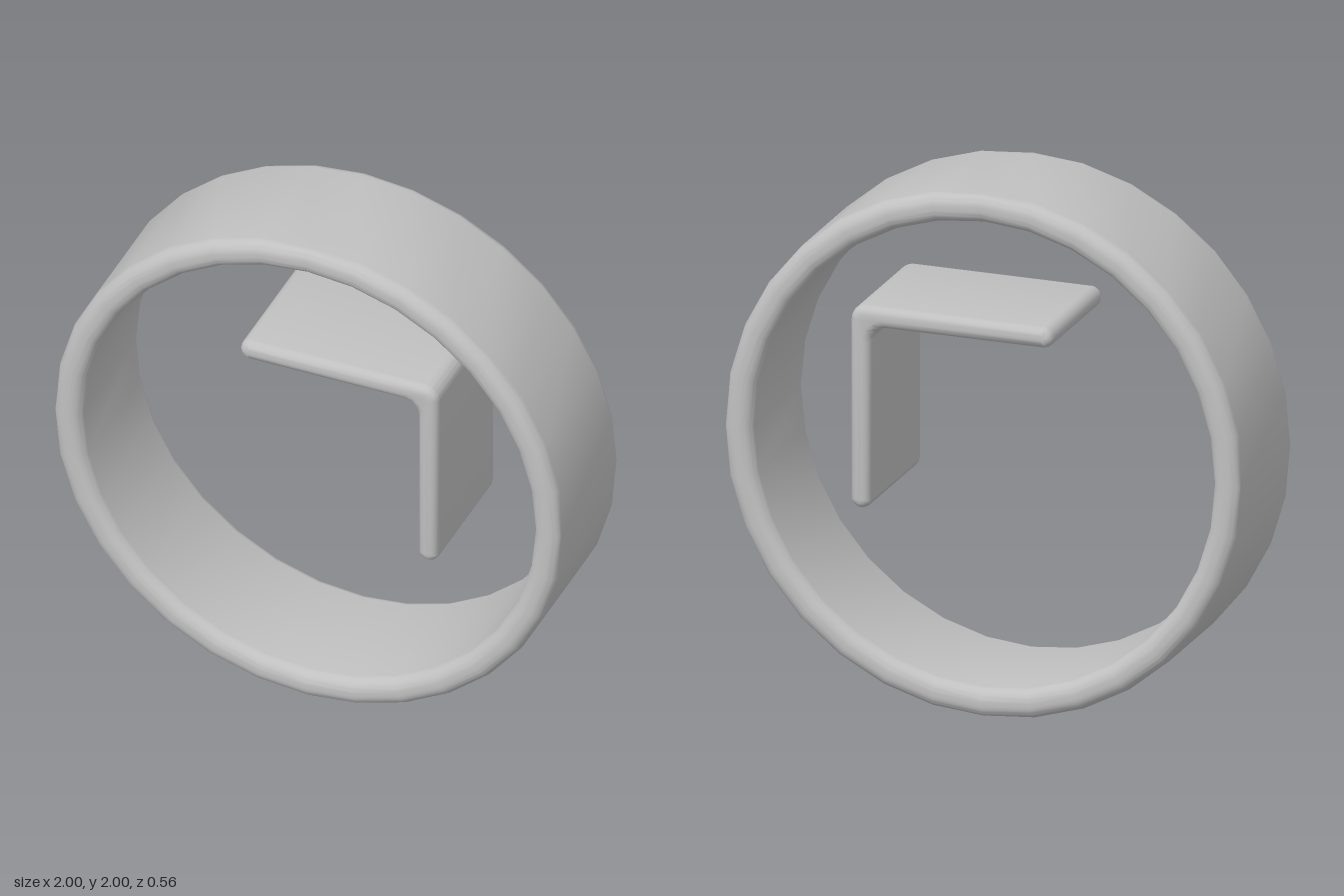
import * as THREE from 'three';
import { mergeVertices, toCreasedNormals } from 'three/addons/utils/BufferGeometryUtils.js';

const DEPTH = 0.56;

// Weld the corners, then smooth everything but sharp edges
function smooth(geometry, angle) {
  geometry.deleteAttribute('normal');
  geometry.deleteAttribute('uv');
  return toCreasedNormals(mergeVertices(geometry, 1e-4), angle);
}

// Wide band with rounded rims, slightly flattened at its four extremes
function ringGeometry() {
  const inner = 0.895, outer = 1.008, h = DEPTH / 2, r = 0.05;
  const profile = new THREE.Shape()
    .moveTo(outer, -h + r)
    .lineTo(outer, h - r)
    .absarc(outer - r, h - r, r, 0, Math.PI / 2)
    .absarc(inner + r, h - r, r, Math.PI / 2, Math.PI)
    .lineTo(inner, -h + r)
    .absarc(inner + r, -h + r, r, Math.PI, Math.PI * 1.5)
    .absarc(outer - r, -h + r, r, Math.PI * 1.5, Math.PI * 2);
  const points = profile.getPoints(5);
  points.push(points[0].clone());
  const geometry = new THREE.LatheGeometry(points, 32);
  geometry.rotateX(Math.PI / 2);
  const p = geometry.attributes.position;
  for (let i = 0; i < p.count; i++) {
    p.setXY(i, THREE.MathUtils.clamp(p.getX(i), -1, 1), THREE.MathUtils.clamp(p.getY(i), -1, 1));
  }
  return smooth(geometry, 1.0);
}

// Two plates meeting at a right angle: a thin core outline grown by a round bevel
function handsGeometry() {
  const t = 0.008, bevel = 0.032, x = 0.475, y = 1.48, fillet = 0.09, corner = 0.025;
  const tipX = -0.23, tipY = 0.78;
  const core = new THREE.Shape()
    .moveTo(tipX, y - t)
    .lineTo(x - t - fillet, y - t)
    .absarc(x - t - fillet, y - t - fillet, fillet, Math.PI / 2, 0, true)
    .lineTo(x - t, tipY)
    .absarc(x, tipY, t, Math.PI, Math.PI * 2)
    .lineTo(x + t, y + t - corner)
    .absarc(x + t - corner, y + t - corner, corner, 0, Math.PI / 2)
    .lineTo(tipX, y + t)
    .absarc(tipX, y, t, Math.PI / 2, Math.PI * 1.5);
  const depth = DEPTH - 0.02 - 2 * bevel;
  const geometry = new THREE.ExtrudeGeometry(core, {
    depth, bevelEnabled: true, bevelSize: bevel, bevelThickness: bevel, bevelSegments: 4, curveSegments: 6,
  });
  geometry.translate(0, 0, -depth / 2);
  return smooth(geometry, 0.9);
}

export function createModel() {
  const grey = new THREE.MeshStandardMaterial({ color: 0xc0c0c0 });
  grey.name = 'light grey';

  const model = new THREE.Group();
  model.name = 'clock';

  const ring = new THREE.Mesh(ringGeometry(), grey);
  ring.name = 'outerRing';
  ring.position.y = 1;
  model.add(ring);

  const hands = new THREE.Mesh(handsGeometry(), grey);
  hands.name = 'clockHands';
  model.add(hands);

  return model;
}
